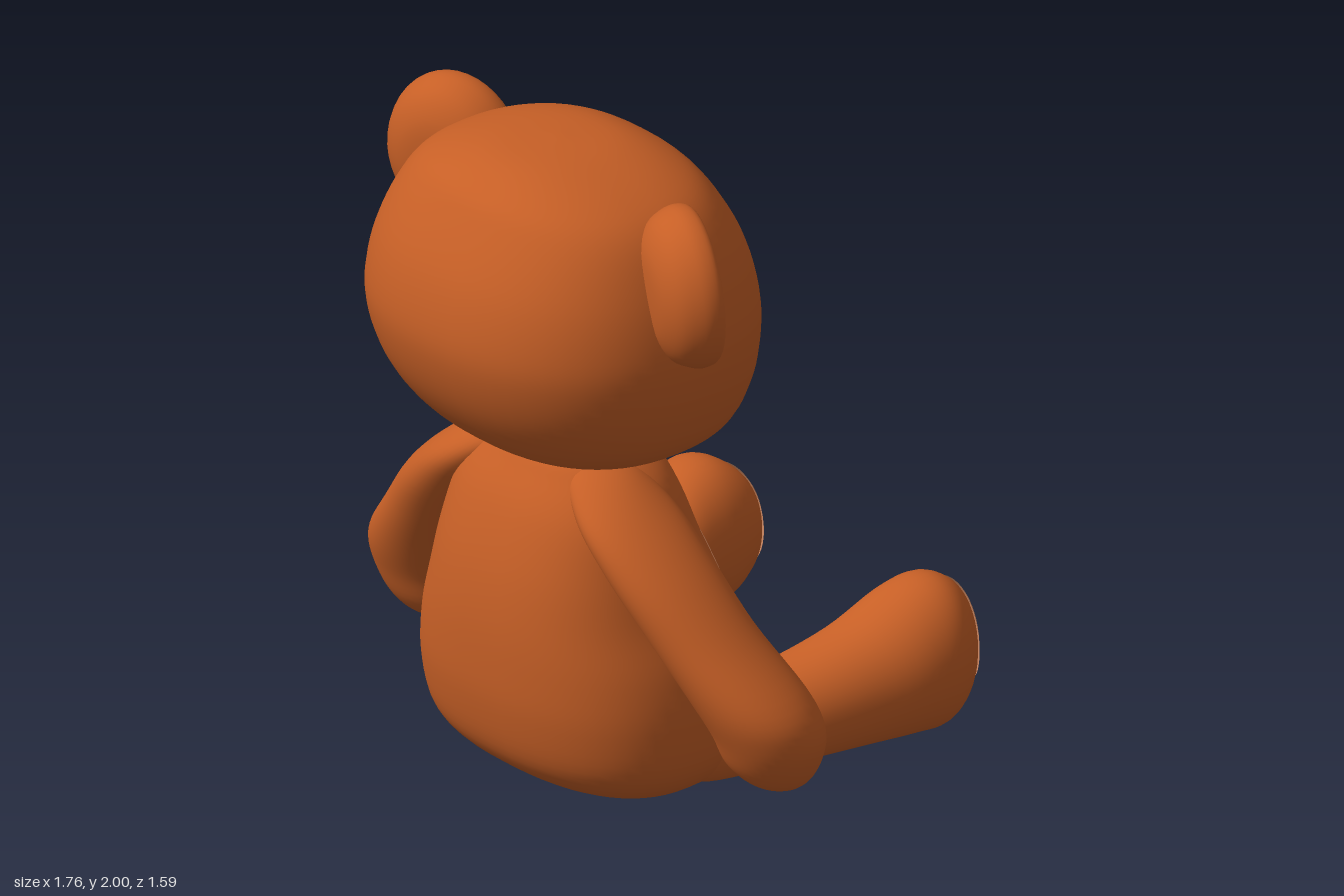
import * as THREE from 'three';
import { mergeVertices } from 'three/addons/utils/BufferGeometryUtils.js';

const mat = (name, color) => Object.assign(new THREE.MeshStandardMaterial({ color }), { name });

const catmull = (a, b, c, d, t) =>
  0.5 * (2 * b + (c - a) * t + (2 * a - 5 * b + 4 * c - d) * t * t + (3 * b - a - 3 * c + d) * t * t * t);

// Smooth skin over cross-sections [t, centreX, centreV, radiusX, radiusV].
// axis 'y': t is y (listed downwards), V is z. axis 'z': t is z (listed upwards), V is y.
function loft(sections, axis, power = 2, side = 1, seg = 56, sub = 5) {
  const rows = [];
  const last = sections.length - 1;
  for (let i = 0; i < last; i++) {
    for (let k = 0; k < sub + (i === last - 1 ? 1 : 0); k++) {
      const at = (n) => sections[Math.min(last, Math.max(0, n))];
      rows.push(sections[i].map((_, q) => catmull(at(i - 1)[q], at(i)[q], at(i + 1)[q], at(i + 2)[q], k / sub)));
    }
  }
  const pos = [], index = [];
  const round = (v) => Math.sign(v) * Math.abs(v) ** (2 / power);
  rows.forEach(([t, cx, cv, rx, rv], i) => {
    for (let j = 0; j < seg; j++) {
      const a = (j / seg) * Math.PI * 2;
      const x = side * cx + Math.max(0, rx) * round(Math.cos(a));
      const v = cv + Math.max(0, rv) * round(Math.sin(a));
      pos.push(...(axis === 'y' ? [x, t, v] : [x, v, t]));
      if (i < rows.length - 1) {
        const p = i * seg + j, q = i * seg + ((j + 1) % seg);
        index.push(p, q, p + seg, q, q + seg, p + seg);
      }
    }
  });
  const geo = new THREE.BufferGeometry();
  geo.setAttribute('position', new THREE.Float32BufferAttribute(pos, 3));
  geo.setIndex(index);
  const merged = mergeVertices(geo, 1e-5);
  merged.computeVertexNormals();
  return merged;
}

// Thin painted patch: an outline in x, y laid onto the -z side of a surface
function patch(geometry, cx, cy, outline, lift, rings = 8, seg = 40) {
  const target = new THREE.Mesh(geometry, new THREE.MeshBasicMaterial({ side: THREE.DoubleSide }));
  const ray = new THREE.Raycaster();
  const forward = new THREE.Vector3(0, 0, 1);
  const pos = [], index = [];
  for (let r = 0; r <= rings; r++) {
    for (let j = 0; j < seg; j++) {
      const [dx, dy] = outline((j / seg) * Math.PI * 2);
      ray.set(new THREE.Vector3(cx + (dx * r) / rings, cy + (dy * r) / rings, -3), forward);
      const hit = ray.intersectObject(target)[0];
      const p = hit ? hit.point.addScaledVector(hit.face.normal, lift) : new THREE.Vector3(cx, cy, 0);
      pos.push(p.x, p.y, p.z);
      if (r < rings) {
        const a = r * seg + j, b = r * seg + ((j + 1) % seg);
        index.push(a, b, a + seg, b, b + seg, a + seg);
      }
    }
  }
  const geo = new THREE.BufferGeometry();
  geo.setAttribute('position', new THREE.Float32BufferAttribute(pos, 3));
  geo.setIndex(index);
  const merged = mergeVertices(geo, 1e-5);
  merged.computeVertexNormals();
  return merged;
}

const oval = (rx, ry, power = 2) => (a) => {
  const f = (v) => Math.sign(v) * Math.abs(v) ** (2 / power);
  return [rx * f(Math.cos(a)), ry * f(Math.sin(a))];
};

export function createModel() {
  const fur = mat('brown fur', 0xc65f26);
  const tan = mat('tan patch', 0xd08a64);
  const pink = mat('pink inner ear', 0xdc7878);
  const black = mat('black', 0x0c0c0c);
  tan.side = black.side = THREE.DoubleSide;

  const model = new THREE.Group();
  model.name = 'teddyBear';
  const add = (name, geo, material) => {
    const mesh = new THREE.Mesh(geo, material);
    mesh.name = name;
    model.add(mesh);
    return mesh;
  };

  // Head
  const head = loft([
    [2.0, 0, 0.3, 0, 0],
    [1.985, 0, 0.31, 0.17, 0.18],
    [1.93, 0, 0.31, 0.34, 0.3],
    [1.85, 0, 0.3, 0.45, 0.375],
    [1.7, 0, 0.295, 0.525, 0.46],
    [1.55, 0, 0.29, 0.56, 0.5],
    [1.43, 0, 0.28, 0.56, 0.5],
    [1.3, 0, 0.26, 0.53, 0.47],
    [1.18, 0, 0.235, 0.47, 0.405],
    [1.1, 0, 0.205, 0.37, 0.325],
    [1.055, 0, 0.175, 0.23, 0.21],
    [1.04, 0, 0.17, 0, 0],
  ], 'y', 2.3);
  add('head', head, fur);

  // Face
  add('muzzle', patch(head, 0, 1.355, oval(0.32, 0.165, 2.2), 0.004, 12, 56), tan);
  for (const s of [-1, 1]) add('eye', patch(head, s * 0.11, 1.555, oval(0.027, 0.032), 0.006, 3, 24), black);
  const noseOutline = (a) => [0.055 * Math.cos(a) * (1 + 0.45 * Math.sin(a)), 0.045 * Math.sin(a)];
  add('nose', patch(head, 0, 1.45, noseOutline, 0.009, 4, 32), black);
  add('mouthLine', patch(head, 0, 1.385, oval(0.009, 0.045, 3), 0.008, 3, 24), black);

  // Ears: a shallow cupped disc with a pink lining
  const profile = (pts) => pts.map(([x, y]) => new THREE.Vector2(x, y));
  const shell = new THREE.SplineCurve(profile([
    [0, -0.12], [0.5, -0.11], [0.83, -0.07], [0.98, -0.01], [0.98, 0.035], [0.9, 0.055], [0.8, 0.04],
  ])).getPoints(24);
  shell[0].x = 0;
  const lining = profile([[0.8, 0.04], [0.65, 0.022], [0.4, 0.012], [0, 0.008]]);
  for (const [x, z, turn] of [[0.53, 0.3, -0.39], [-0.53, 0.225, 0.28]]) {
    for (const [name, pts, material] of [['ear', shell, fur], ['innerEar', lining, pink]]) {
      const geo = new THREE.LatheGeometry(pts, 40);
      geo.rotateX(-Math.PI / 2).scale(0.21, 0.24, 1).rotateZ(Math.sign(x) * 0.12).rotateX(0.06).rotateY(turn);
      add(name, geo.translate(x, 1.725, z), material);
    }
  }

  // Body
  const body = loft([
    [1.08, 0, 0.27, 0, 0],
    [1.06, 0, 0.265, 0.19, 0.14],
    [1.0, 0, 0.255, 0.28, 0.205],
    [0.9, 0, 0.26, 0.34, 0.26],
    [0.75, 0, 0.255, 0.38, 0.315],
    [0.6, 0, 0.235, 0.42, 0.36],
    [0.45, 0, 0.21, 0.47, 0.39],
    [0.3, 0, 0.2, 0.49, 0.39],
    [0.15, 0, 0.19, 0.475, 0.36],
    [0.06, 0, 0.17, 0.41, 0.29],
    [0.015, 0, 0.13, 0.3, 0.2],
    [0.005, 0, 0.1, 0, 0],
  ], 'y', 2.4);
  add('body', body, fur);
  add('bellyPatch', patch(body, 0, 0.57, oval(0.215, 0.265, 2.4), 0.005, 10, 48), tan);

  for (const s of [-1, 1]) {
    // Arm, from shoulder down to paw
    add('arm', loft([
      [1.06, 0.18, 0.31, 0, 0],
      [1.03, 0.19, 0.31, 0.1, 0.09],
      [0.93, 0.3, 0.315, 0.125, 0.155],
      [0.8, 0.42, 0.3, 0.14, 0.165],
      [0.63, 0.55, 0.255, 0.153, 0.16],
      [0.46, 0.67, 0.19, 0.178, 0.167],
      [0.35, 0.712, 0.15, 0.168, 0.16],
      [0.25, 0.71, 0.13, 0.142, 0.132],
      [0.185, 0.715, 0.12, 0.085, 0.075],
      [0.165, 0.72, 0.12, 0, 0],
    ], 'y', 2, s, 40), fur);

    // Leg, from sole back to hip
    const leg = loft([
      [-0.79, 0.44, 0.255, 0, 0],
      [-0.778, 0.445, 0.255, 0.085, 0.12],
      [-0.73, 0.468, 0.25, 0.14, 0.19],
      [-0.65, 0.48, 0.245, 0.17, 0.232],
      [-0.55, 0.47, 0.235, 0.17, 0.222],
      [-0.4, 0.43, 0.19, 0.16, 0.178],
      [-0.2, 0.385, 0.16, 0.147, 0.148],
      [-0.05, 0.35, 0.155, 0.14, 0.143],
      [0.12, 0.31, 0.17, 0.15, 0.14],
      [0.25, 0.27, 0.17, 0.08, 0.08],
      [0.28, 0.27, 0.17, 0, 0],
    ], 'z', 2.1, s, 40);
    add('leg', leg, fur);
    add('solePad', patch(leg, s * 0.475, 0.265, oval(0.125, 0.155, 2.3), 0.005), tan);
  }
  return model;
}
